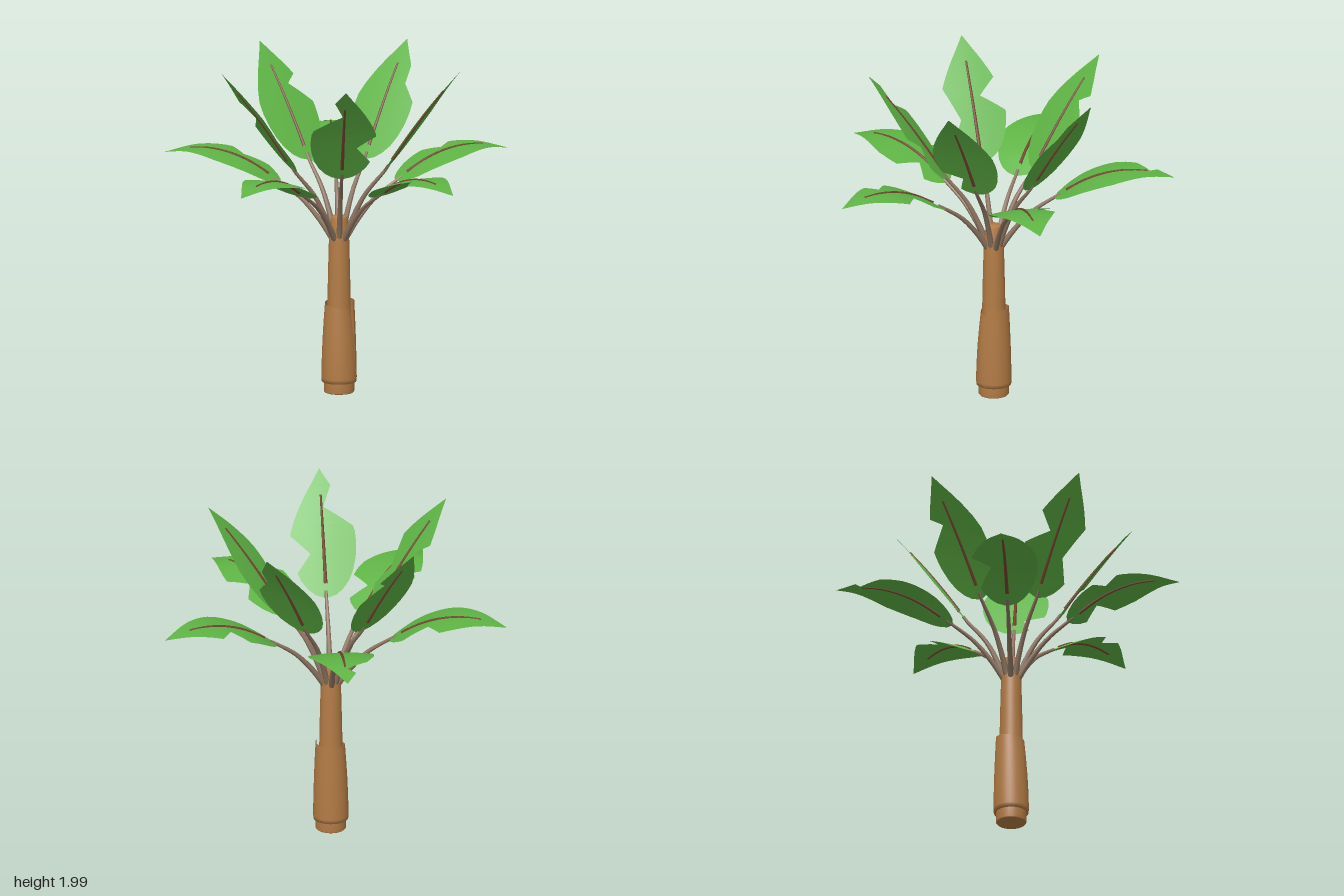
import * as THREE from 'three';

const bark = new THREE.MeshStandardMaterial({ name: 'bark brown', color: 0xb27b45, side: THREE.DoubleSide });
const green = new THREE.MeshStandardMaterial({ name: 'leaf green', color: 0x5fb445, side: THREE.DoubleSide });
const stalk = new THREE.MeshStandardMaterial({ name: 'stalk taupe', color: 0x8f7662 });
const rib = new THREE.MeshStandardMaterial({ name: 'rib red brown', color: 0x74452f });

const V = (x, y, z = 0) => new THREE.Vector3(x, y, z);
const lerp = THREE.MathUtils.lerp;

function mesh(name, geometry, material) {
  const m = new THREE.Mesh(geometry, material);
  m.name = name;
  return m;
}

// linear interpolation through [position, value] pairs
function sample(table, u) {
  for (let i = 1; i < table.length; i++) {
    const [a, va] = table[i - 1], [b, vb] = table[i];
    if (u <= b) return lerp(va, vb, (u - a) / (b - a));
  }
  return table[table.length - 1][1];
}

// tube whose radius runs from r0 to r1
function taperedTube(curve, r0, r1, segments, sides) {
  const g = new THREE.TubeGeometry(curve, segments, 1, sides);
  const p = g.attributes.position, v = V(0, 0);
  for (let i = 0; i < p.count; i++) {
    const t = Math.floor(i / (sides + 1)) / segments;
    const c = curve.getPointAt(t);
    v.fromBufferAttribute(p, i).sub(c).multiplyScalar(lerp(r0, r1, t)).add(c);
    p.setXYZ(i, v.x, v.y, v.z);
  }
  return g;
}

// half width of an untorn leaf along its length
const WIDTH = [[0, 0.015], [0.02, 0.06], [0.06, 0.1], [0.12, 0.138], [0.2, 0.167], [0.3, 0.187], [0.4, 0.195],
  [0.5, 0.19], [0.6, 0.164], [0.7, 0.128], [0.8, 0.087], [0.9, 0.043], [1, 0.002]];

// a tear is [side, start, apex, end, half width left at the apex]
function halfWidth(u, side, tears) {
  for (const [s, a, m, b, w] of tears) {
    if (s === side && u > a && u < b)
      return sample([[a, sample(WIDTH, a)], [m, w], [b, sample(WIDTH, b)]], u);
  }
  return sample(WIDTH, u);
}

// curved blade built from cross rows along the midline
function bladeGeometry(midline, tears) {
  const stations = [...Array(25).keys()].map(i => i / 24).concat([0.02, 0.06]);
  tears.forEach(t => stations.push(t[1], t[2], t[3]));
  const us = [...new Set(stations)].sort((a, b) => a - b);
  const columns = [-1, -0.5, 0, 0.5, 1], n = columns.length;
  const pos = [], idx = [];
  us.forEach((u, i) => {
    const c = midline.getPoint(u);
    columns.forEach((k, j) => {
      const s = k * halfWidth(u, k < 0 ? -1 : 1, tears);
      pos.push(c.x, c.y - 0.4 * s * s, s);
      if (i && j) {
        const d = i * n + j, a = d - n - 1;
        idx.push(a, a + 1, d - 1, a + 1, d, d - 1);
      }
    });
  });
  const g = new THREE.BufferGeometry();
  g.setAttribute('position', new THREE.Float32BufferAttribute(pos, 3));
  g.setIndex(idx);
  g.computeVertexNormals();
  return g;
}

// each ring: radial range, heights along the midline, stalk path and leaves [angle, tears]
const LOWER = {
  from: 0.36, to: 1.065, heights: [1.25, 1.36, 1.42, 1.43, 1.39],
  stem: [V(0.03, 0.91), V(0.12, 1.04), V(0.23, 1.16)],
  leaves: [
    [-118, [[1, 0.16, 0.35, 0.48, 0.085]]],
    [-46, [[-1, 0.68, 0.8, 0.86, 0.01]]],
    [26, [[-1, 0.34, 0.45, 0.57, 0.08]]],
    [98, [[-1, 0.25, 0.37, 0.5, 0.09], [1, 0.41, 0.57, 0.65, 0.07]]],
    [170, [[1, 0.33, 0.39, 0.54, 0.09], [-1, 0.1, 0.23, 0.32, 0.054]]],
  ],
};
const UPPER = {
  from: 0.28, to: 0.74, heights: [1.36, 1.535, 1.7, 1.85, 1.99],
  stem: [V(0.03, 0.91), V(0.08, 1.05), V(0.16, 1.21)],
  leaves: [
    [-82, [[1, 0.44, 0.6, 0.68, 0.065]]],
    [-10, [[1, 0.49, 0.62, 0.78, 0.1]]],
    [62, [[1, 0.05, 0.17, 0.24, 0.055]]],
    [134, [[1, 0.54, 0.68, 0.86, 0.01], [-1, 0.19, 0.32, 0.47, 0.08]]],
    [206, [[1, 0.38, 0.49, 0.64, 0.05], [-1, 0.15, 0.32, 0.58, 0.086]]],
  ],
};

function makeLeaf(ring, angle, tears) {
  const leaf = new THREE.Group();
  leaf.name = 'leaf';
  const midline = new THREE.CatmullRomCurve3(
    ring.heights.map((y, i) => V(lerp(ring.from, ring.to, i / 4), y)));
  leaf.add(mesh('blade', bladeGeometry(midline, tears), green));

  // stalk from the trunk into the base of the blade
  const stem = new THREE.CatmullRomCurve3([...ring.stem, midline.getPoint(0), midline.getPoint(0.05)]);
  leaf.add(mesh('stalk', taperedTube(stem, 0.019, 0.009, 12, 8), stalk));

  // midrib, showing on both faces of the blade
  const ribPath = new THREE.CatmullRomCurve3([0.1, 0.28, 0.45, 0.62, 0.78].map(u => midline.getPoint(u)));
  leaf.add(mesh('midrib', taperedTube(ribPath, 0.011, 0.006, 12, 6), rib));

  leaf.rotation.y = -THREE.MathUtils.degToRad(angle);
  return leaf;
}

// overlapping bark wrap: the top edge sinks and tightens around the trunk from the seam
function sheathGeometry() {
  const rows = [[0.085, 0.065], [0.103, 0.066], [0.105, 0.09], [0.103, 0.2], [0.1, 0.32], [0.095, 0.45], [0.09, 0.555]];
  const around = 40;
  const g = new THREE.LatheGeometry(rows.map(r => new THREE.Vector2(...r)), around, 0.35);
  const p = g.attributes.position;
  for (let i = 0; i <= around; i++) {
    const t = Math.max(0, i / around - 0.3) / 0.7;
    rows.forEach(([, y], j) => {
      const k = i * rows.length + j;
      const rise = Math.max(0, (y - 0.09) / 0.465);
      const f = 1 - 0.2 * t * rise * rise;
      p.setXYZ(k, p.getX(k) * f, y - 0.045 * t * rise, p.getZ(k) * f);
    });
  }
  g.computeVertexNormals();
  return g;
}

export function createModel() {
  const model = new THREE.Group();
  model.name = 'broadLeafTree';
  const tree = new THREE.Group();
  tree.name = 'tree';
  tree.position.set(0.04, 0, -0.06);
  model.add(tree);

  // trunk core with a rounded crown
  const profile = [[0, 0], [0.085, 0], [0.09, 0.006], [0.09, 0.08], [0.08, 0.25], [0.069, 0.5], [0.068, 0.6],
    [0.064, 0.78], [0.06, 0.93], [0.054, 1.0], [0.048, 1.055], [0.04, 1.068], [0, 1.073]];
  tree.add(mesh('trunk', new THREE.LatheGeometry(profile.map(q => new THREE.Vector2(...q)), 32), bark));
  tree.add(mesh('barkSheath', sheathGeometry(), bark));

  for (const ring of [LOWER, UPPER])
    for (const [angle, tears] of ring.leaves) tree.add(makeLeaf(ring, angle, tears));

  return model;
}
